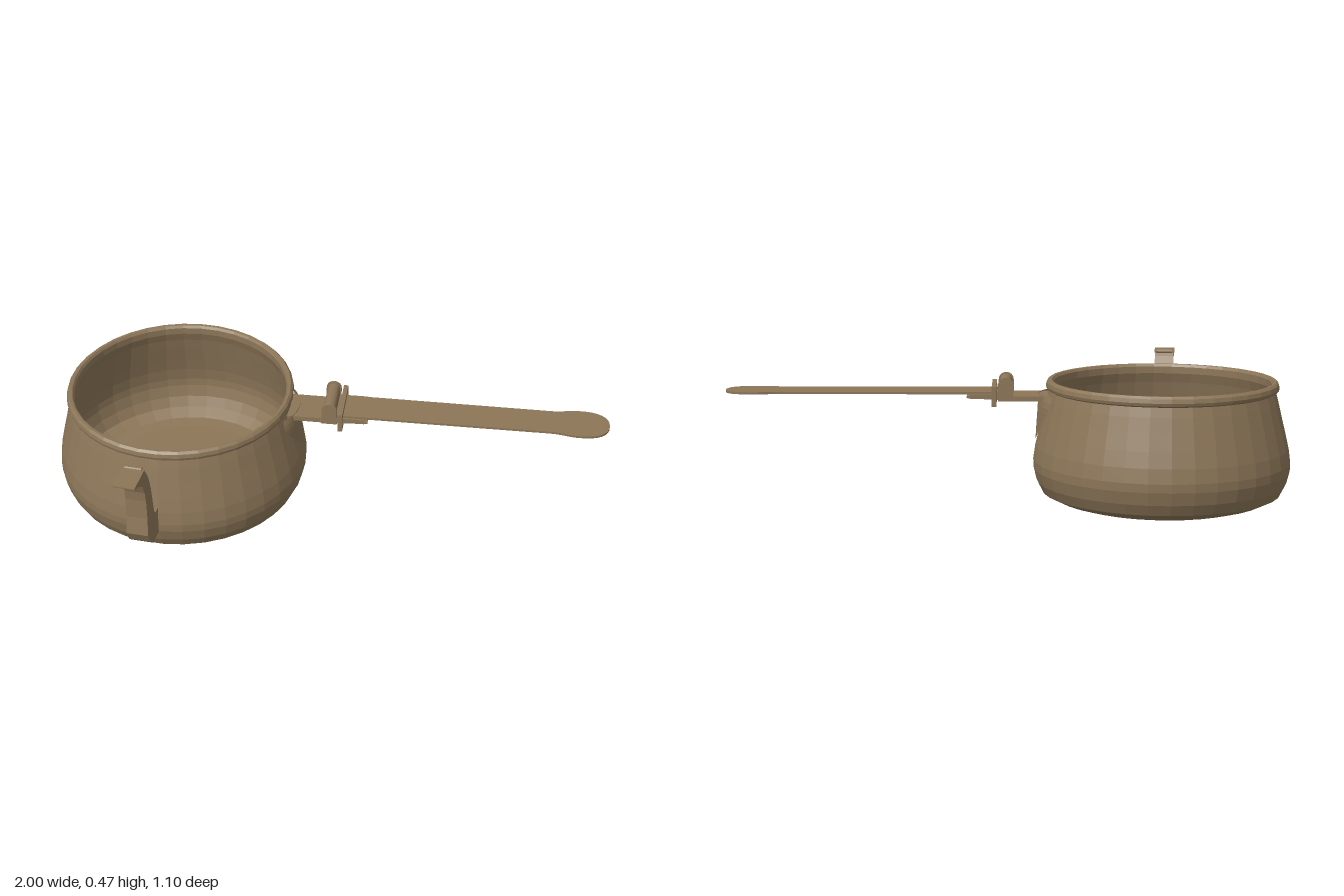
import * as THREE from 'three';

export function createModel() {
  const model = new THREE.Group();
  // everything is built around the pot's axis, which sits off centre
  model.position.set(-0.545, 0, -0.095);
  const root = new THREE.Group();
  root.add(model);
  const mat = new THREE.MeshStandardMaterial({ color: 0x8c7658, flatShading: true, side: THREE.DoubleSide });

  const add = (parent, name, geo, x = 0, y = 0, z = 0) => {
    const m = new THREE.Mesh(geo, mat);
    m.name = name;
    m.position.set(x, y, z);
    parent.add(m);
    return m;
  };
  const v2 = (p) => new THREE.Vector2(p[0], p[1]);

  // pot: outside wall, rolled rim, then inside wall back to the axis
  const wall = [[0.33, 0.005], [0.38, 0.02], [0.424, 0.042], [0.443, 0.08], [0.454, 0.125], [0.455, 0.155],
    [0.448, 0.205], [0.435, 0.26], [0.42, 0.32], [0.408, 0.37], [0.399, 0.403]];
  const rim = [[0.408, 0.408], [0.411, 0.418], [0.408, 0.432], [0.4, 0.44], [0.39, 0.439], [0.384, 0.43], [0.384, 0.405]];
  const inside = wall.slice(0, -1).reverse().map(([r, y]) => [r - 0.012, Math.max(y, 0.017)]);
  add(model, 'pot', new THREE.LatheGeometry([[0, 0.003], ...wall, ...rim, ...inside, [0, 0.017]].map(v2), 36));

  const wallRadius = (y) => {
    for (let i = 1; i < wall.length; i++) {
      const [r0, y0] = wall[i - 1], [r1, y1] = wall[i];
      if (y <= y1) return r0 + (r1 - r0) * (y - y0) / (y1 - y0);
    }
    return 0.399;
  };

  // spout: rectangular tube through paired back and front points [z, y]
  const spout = new THREE.Group();
  spout.name = 'spout';
  spout.rotation.y = -0.095;
  model.add(spout);
  const sections = [
    [[0.43, 0.225], [0.43, 0.125], 0.04], [[0.472, 0.228], [0.515, 0.125], 0.04],
    [[0.481, 0.238], [0.54, 0.15], 0.04], [[0.484, 0.26], [0.56, 0.192], 0.039],
    [[0.486, 0.30], [0.549, 0.26], 0.038], [[0.49, 0.35], [0.546, 0.335], 0.037],
    [[0.498, 0.39], [0.55, 0.375], 0.036], [[0.512, 0.425], [0.565, 0.415], 0.036],
    [[0.528, 0.45], [0.595, 0.438], 0.036], [[0.54, 0.463], [0.642, 0.46], 0.036]];
  const pos = [], idx = [];
  sections.forEach(([b, f, w], i) => {
    pos.push(-w, b[1], b[0], w, b[1], b[0], w, f[1], f[0], -w, f[1], f[0]);
    if (!i) return;
    for (let k = 0; k < 4; k++) {
      const a = (i - 1) * 4 + k, c = (i - 1) * 4 + (k + 1) % 4;
      idx.push(a, a + 4, c, c, a + 4, c + 4);
    }
  });
  const tube = new THREE.BufferGeometry();
  tube.setAttribute('position', new THREE.Float32BufferAttribute(pos, 3));
  tube.setIndex(idx);
  tube.computeVertexNormals();
  add(spout, 'spoutTube', tube);
  add(spout, 'spoutLid', new THREE.BoxGeometry(0.076, 0.006, 0.108), 0, 0.465, 0.592);
  const pin = new THREE.CylinderGeometry(0.008, 0.008, 0.06, 10).rotateZ(Math.PI / 2);
  add(spout, 'spoutHinge', pin, 0, 0.468, 0.542);

  // shield: pointed plate that hugs the wall and swells under the bracket
  const halfWidths = [0.108, 0.116, 0.116, 0.104, 0.086, 0.068, 0.05, 0.032, 0.004];
  const shield = new THREE.PlaneGeometry(2, 1, 12, halfWidths.length - 1);
  const sp = shield.attributes.position;
  for (let i = 0; i < sp.count; i++) {
    const u = sp.getX(i), row = Math.floor(i / 13), t = row / (halfWidths.length - 1);
    const y = 0.39 - 0.165 * t, z = -u * halfWidths[row];
    const swell = 0.004 + 0.03 * (1 - t) * (1 - u * u);
    sp.setXYZ(i, Math.sqrt(wallRadius(y) ** 2 - z * z) + swell, y, z);
  }
  shield.computeVertexNormals();
  add(model, 'shield', shield);

  // bracket: arm from the pot, socket plate and its low side flanges
  const bracket = new THREE.Group();
  bracket.name = 'bracket';
  model.add(bracket);
  add(bracket, 'arm', new THREE.BoxGeometry(0.16, 0.018, 0.135), 0.475, 0.378, 0);
  const plate = add(bracket, 'socketPlate', new THREE.BoxGeometry(0.17, 0.008, 0.148), 0.604, 0.381, 0);
  plate.rotation.z = 0.06;
  for (const s of [-1, 1])
    add(bracket, 'socketFlange', new THREE.BoxGeometry(0.145, 0.016, 0.006), 0.605, 0.388, s * 0.071);

  // collar: rectangular frame around the handle
  const rect = (S, w, h) => {
    const s = new S();
    s.moveTo(-w, -h);
    s.lineTo(w, -h);
    s.lineTo(w, h);
    s.lineTo(-w, h);
    s.closePath();
    return s;
  };
  const frame = rect(THREE.Shape, 0.094, 0.035);
  frame.holes.push(rect(THREE.Path, 0.076, 0.021));
  const frameGeo = new THREE.ExtrudeGeometry(frame, { depth: 0.016, bevelEnabled: false }).rotateY(Math.PI / 2);
  add(bracket, 'collar', frameGeo, 0.585, 0.39, 0);

  // latch: rounded tongue standing behind the collar, with two cheeks
  const latch = (w, top, depth) => {
    const s = new THREE.Shape();
    s.moveTo(-w, 0.37);
    s.lineTo(w, 0.37);
    s.lineTo(w, top - w);
    s.absarc(0, top - w, w, 0, Math.PI, false);
    s.closePath();
    return new THREE.ExtrudeGeometry(s, { depth, bevelEnabled: false, curveSegments: 8 }).translate(0, 0, -depth / 2);
  };
  add(bracket, 'latch', latch(0.022, 0.45, 0.136), 0.552);
  for (const s of [-1, 1]) add(bracket, 'latchCheek', latch(0.027, 0.454, 0.009), 0.552, 0, s * 0.07);
  for (const y of [0.382, 0.408])
    add(bracket, 'collarBar', new THREE.BoxGeometry(0.018, 0.008, 0.15), 0.592, y, 0);

  // handle: long thin blade ending in a rounded paddle
  const blade = new THREE.Shape();
  blade.moveTo(0.56, -0.064);
  blade.lineTo(1.34, -0.062);
  blade.bezierCurveTo(1.39, -0.064, 1.39, -0.074, 1.44, -0.075);
  blade.bezierCurveTo(1.5, -0.076, 1.545, -0.055, 1.545, 0);
  blade.bezierCurveTo(1.545, 0.055, 1.5, 0.076, 1.44, 0.075);
  blade.bezierCurveTo(1.39, 0.074, 1.39, 0.064, 1.34, 0.062);
  blade.lineTo(0.56, 0.064);
  blade.closePath();
  const bladeGeo = new THREE.ExtrudeGeometry(blade, { depth: 0.008, bevelEnabled: false, curveSegments: 8 });
  add(model, 'handle', bladeGeo.rotateX(-Math.PI / 2), 0, 0.394, 0);

  return root;
}
